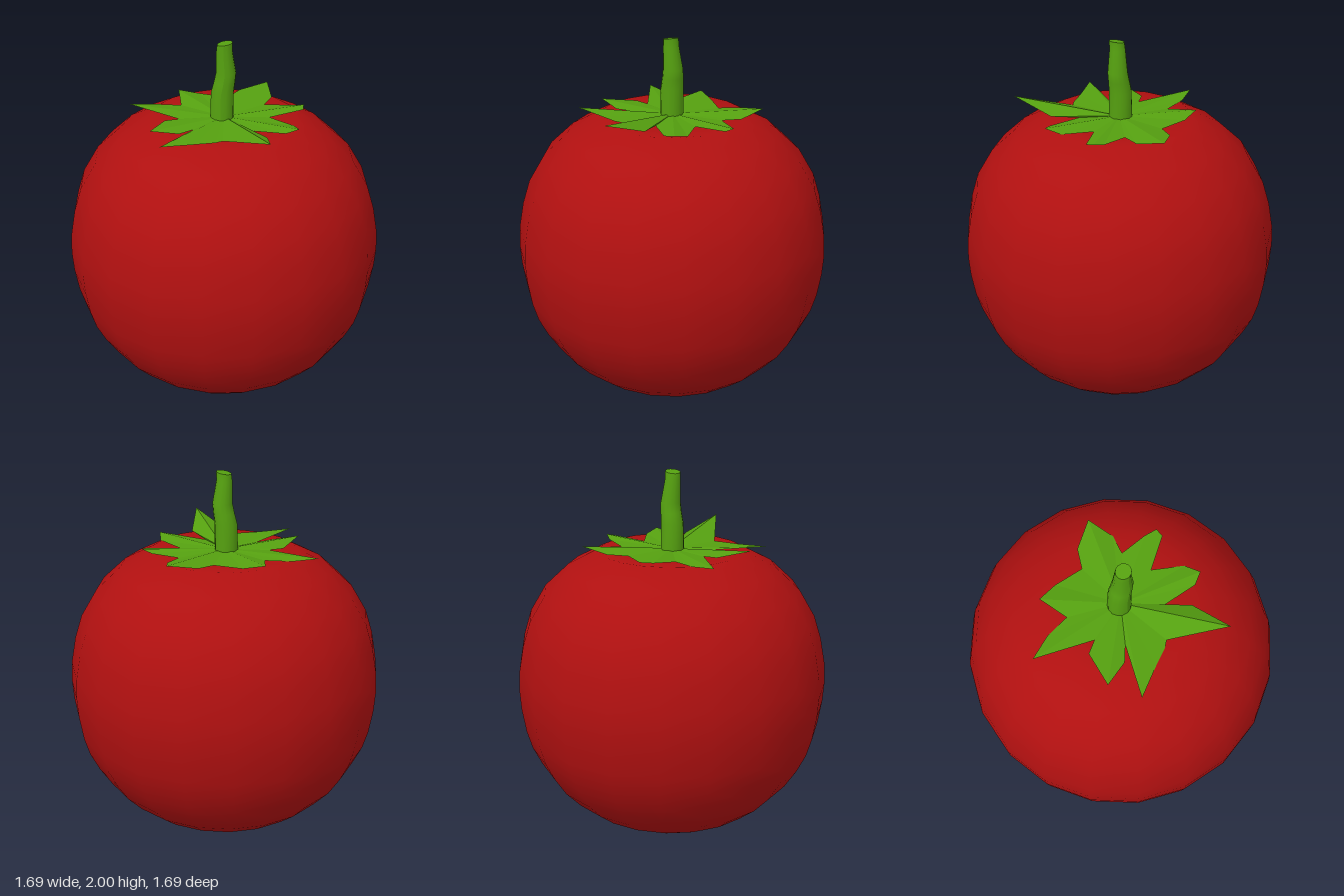
import * as THREE from 'three';

const red = new THREE.MeshStandardMaterial({ color: 0xb01010 });
const green = new THREE.MeshStandardMaterial({ color: 0x55a010 });
const leafGreen = new THREE.MeshStandardMaterial({ color: 0x55a010, flatShading: true, side: THREE.DoubleSide });

// Round fruit with a shallow dip at the top
function makeFruit() {
  const profile = [
    [0, 0], [0.12, 0.008], [0.25, 0.03], [0.375, 0.075], [0.49, 0.135], [0.585, 0.21],
    [0.67, 0.3], [0.735, 0.4], [0.785, 0.5], [0.815, 0.6], [0.837, 0.73], [0.845, 0.84],
    [0.84, 0.95], [0.815, 1.09], [0.775, 1.22], [0.69, 1.365], [0.56, 1.487], [0.39, 1.576],
    [0.25, 1.565], [0, 1.55],
  ].map(([r, y]) => new THREE.Vector2(r, y));
  const fruit = new THREE.Mesh(new THREE.LatheGeometry(profile, 20), red);
  fruit.name = 'fruit';
  return fruit;
}

// Irregular star of eight creased leaves, fanned out from the stem
function makeCalyx() {
  // Outline in order around the stem: x, z, y
  const outline = [
    [0.185, -0.445, 1.61], [0.225, -0.3, 1.58], [0.195, -0.2, 1.577],
    [0.345, -0.19, 1.585], [0.41, -0.17, 1.6], [0.41, -0.125, 1.59], [0.24, -0.03, 1.577],
    [0.38, 0.07, 1.58], [0.41, 0.155, 1.6], [0.345, 0.185, 1.585], [0.15, 0.155, 1.577],
    [0.255, 0.255, 1.59], [0.295, 0.485, 1.66], [0.035, 0.3, 1.577],
    [0, 0.325, 1.577], [-0.1, 0.365, 1.58], [-0.265, 0.44, 1.59], [-0.135, 0.18, 1.577],
    [-0.2, 0.245, 1.578], [-0.345, 0.28, 1.6], [-0.3, 0.09, 1.58], [-0.23, 0.055, 1.577],
    [-0.525, -0.075, 1.592], [-0.39, -0.12, 1.58], [-0.25, -0.13, 1.577],
    [-0.29, -0.29, 1.6], [-0.175, -0.3, 1.58], [-0.015, -0.275, 1.577], [0.04, -0.37, 1.585],
  ];
  const positions = [];
  outline.forEach(([x, z, y], i) => {
    const [nx, nz, ny] = outline[(i + 1) % outline.length];
    positions.push(0, 1.582, 0, nx, ny, nz, x, y, z);
  });
  const geometry = new THREE.BufferGeometry();
  geometry.setAttribute('position', new THREE.Float32BufferAttribute(positions, 3));
  geometry.computeVertexNormals();
  const calyx = new THREE.Mesh(geometry, leafGreen);
  calyx.name = 'calyx';
  return calyx;
}

// Slightly crooked stem: a cylinder whose rings follow a table from top to bottom
function makeStem() {
  // Ring centre height, x, z, radius
  const rings = [
    [1.993, 0.007, 0.012, 0.04], [1.95, 0.004, 0.01, 0.042], [1.83, 0.012, 0.002, 0.053],
    [1.78, 0.004, 0, 0.056], [1.72, -0.008, 0, 0.06], [1.55, -0.01, 0, 0.062],
  ];
  const geometry = new THREE.CylinderGeometry(1, 1, 1, 14, rings.length - 1);
  const p = geometry.attributes.position;
  for (let i = 0; i < p.count; i++) {
    const row = Math.round((0.5 - p.getY(i)) * (rings.length - 1));
    const [y, cx, cz, r] = rings[row];
    const x = p.getX(i);
    // The cut end tilts a little
    p.setXYZ(i, cx + x * r, y + (row === 0 ? x * 0.007 : 0), cz + p.getZ(i) * r);
  }
  geometry.computeVertexNormals();
  const stem = new THREE.Mesh(geometry, green);
  stem.name = 'stem';
  return stem;
}

export function createModel() {
  const model = new THREE.Group();
  model.name = 'tomato';
  model.add(makeFruit(), makeCalyx(), makeStem());
  return model;
}
